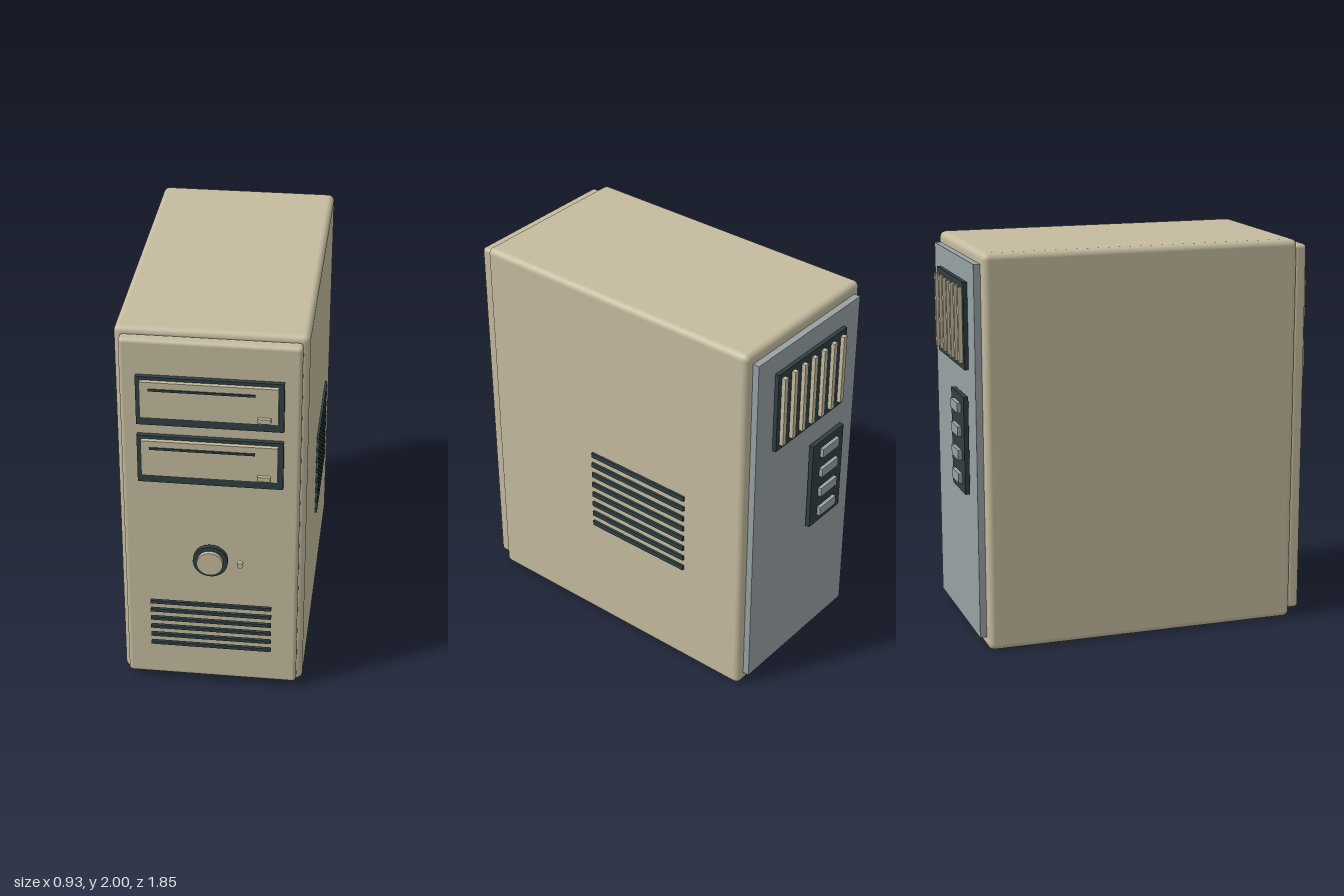
import * as THREE from 'three';
import { RoundedBoxGeometry } from 'three/addons/geometries/RoundedBoxGeometry.js';

const material = (name, color) => {
  const m = new THREE.MeshStandardMaterial({ color });
  m.name = name;
  return m;
};

export function createModel() {
  const beige = material('beige plastic', 0xc4bb9f);
  const dark = material('dark slate', 0x2f3f42);
  const grey = material('grey metal', 0x98a2a3);

  const model = new THREE.Group();
  model.name = 'computerTower';

  const add = (parent, name, geometry, mat) => {
    const mesh = new THREE.Mesh(geometry, mat);
    mesh.name = name;
    parent.add(mesh);
    return mesh;
  };
  // Box from its extents on each axis; a radius rounds its edges
  const box = (parent, name, mat, [x0, x1], [y0, y1], [z0, z1], radius = 0) => {
    const size = [x1 - x0, y1 - y0, z1 - z0];
    const geometry = radius
      ? new RoundedBoxGeometry(...size, 4, radius)
      : new THREE.BoxGeometry(...size);
    const mesh = add(parent, name, geometry, mat);
    mesh.position.set((x0 + x1) / 2, (y0 + y1) / 2, (z0 + z1) / 2);
    return mesh;
  };
  // Disc facing the front
  const disc = (parent, name, mat, radius, x, y, z0, z1) => {
    const geometry = new THREE.CylinderGeometry(radius, radius, z1 - z0, 40);
    const mesh = add(parent, name, geometry.rotateX(Math.PI / 2), mat);
    mesh.position.set(x, y, (z0 + z1) / 2);
  };
  const group = (name) => {
    const g = new THREE.Group();
    g.name = name;
    model.add(g);
    return g;
  };

  // Case and front bezel
  box(model, 'case', beige, [-0.465, 0.45], [0, 2], [-0.838, 0.795], 0.032);
  box(model, 'frontBezel', beige, [-0.435, 0.422], [0.035, 1.97], [0.79, 0.857], 0.02);

  // Two drive bays, each with a tray, slot and eject button
  for (const top of [1.79, 1.472]) {
    const bay = group('driveBay');
    box(bay, 'bayFrame', dark, [-0.355, 0.343], [top - 0.258, top], [0.85, 0.88]);
    box(bay, 'driveFace', beige, [-0.333, 0.318], [top - 0.208, top - 0.017], [0.88, 0.902]);
    box(bay, 'driveSlot', dark, [-0.292, 0.21], [top - 0.061, top - 0.05], [0.9, 0.908]);
    box(bay, 'ejectButton', beige, [0.222, 0.285], [top - 0.194, top - 0.17], [0.895, 0.92]);
  }

  // Power button and indicator light
  const power = group('powerControls');
  disc(power, 'powerRing', dark, 0.086, -0.006, 0.783, 0.878, 0.902);
  disc(power, 'powerButton', beige, 0.064, -0.006, 0.783, 0.9, 0.923);
  disc(power, 'indicatorLight', beige, 0.015, 0.142, 0.783, 0.895, 0.92);

  // Front vent slats
  const frontVent = group('frontVent');
  for (let i = 0; i < 6; i++) {
    const y = 0.261 + i * 0.0506;
    box(frontVent, 'frontVentSlat', dark, [-0.308, 0.296], [y - 0.009, y + 0.009], [0.884, 0.9]);
  }

  // Side vent slats
  const sideVent = group('sideVent');
  for (let i = 0; i < 8; i++) {
    const y = 0.602 + i * 0.0621;
    box(sideVent, 'sideVentSlat', dark, [0.44, 0.462], [y - 0.013, y + 0.013], [-0.48, 0.12]);
  }

  // Rear panel
  box(model, 'rearPanel', grey, [-0.415, 0.403], [0.06, 1.945], [-0.872, -0.83]);

  // Rear expansion grille with upright bars
  const grille = group('rearGrille');
  box(grille, 'grillePlate', dark, [-0.284, 0.272], [1.405, 1.84], [-0.893, -0.87]);
  for (let i = 0; i < 7; i++) {
    const x = -0.246 + i * 0.08;
    box(grille, 'grilleBar', beige, [x - 0.0125, x + 0.0125], [1.435, 1.812], [-0.914, -0.89]);
  }

  // Rear port block
  const ports = group('rearPorts');
  box(ports, 'portPlate', dark, [-0.294, -0.035], [0.775, 1.272], [-0.904, -0.88]);
  for (let i = 0; i < 4; i++) {
    const y = 0.844 + i * 0.1205;
    box(ports, 'port', grey, [-0.235, -0.098], [y - 0.025, y + 0.025], [-0.923, -0.9]);
  }

  return model;
}
